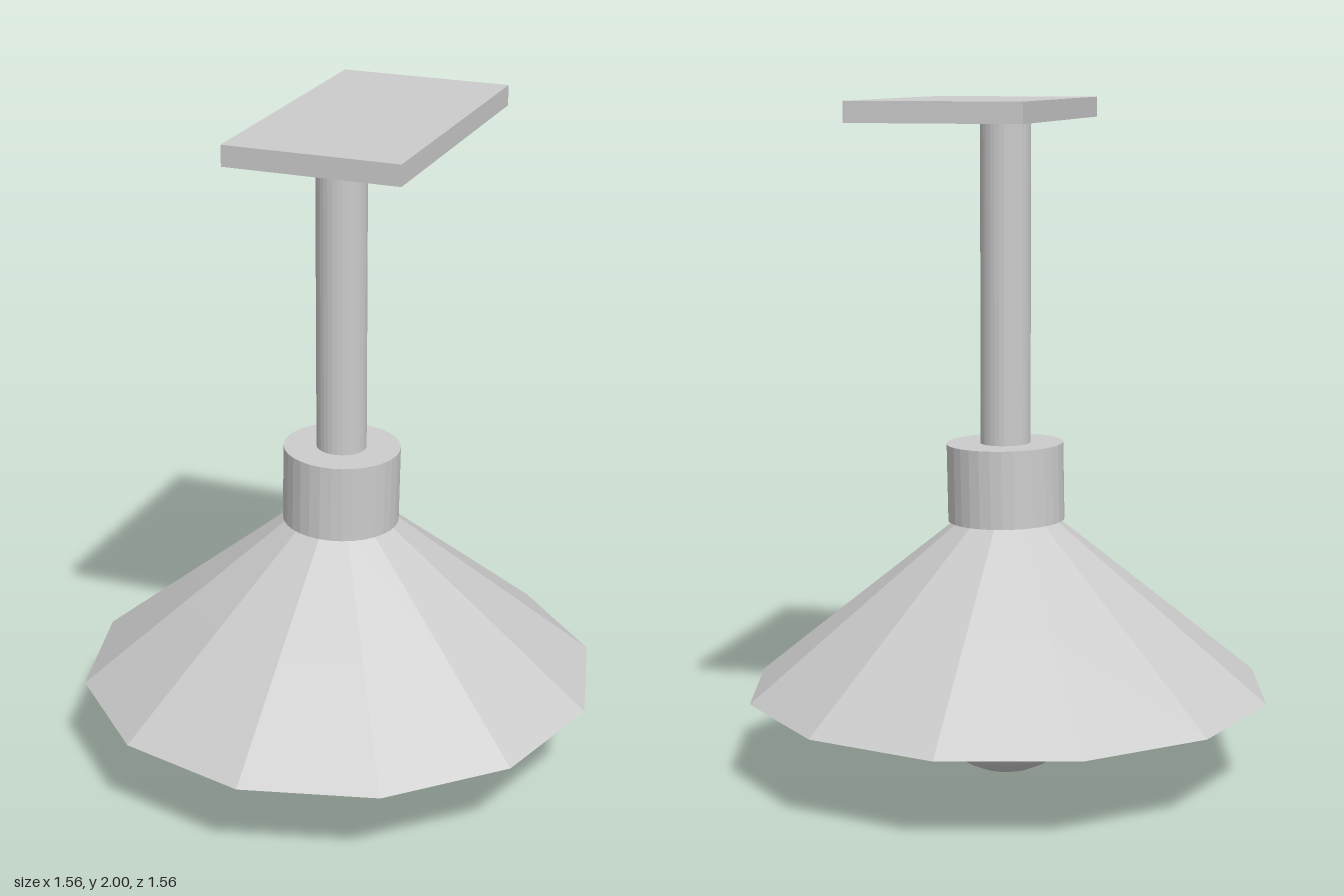
import * as THREE from 'three';

export function createModel() {
  const group = new THREE.Group();
  group.name = 'ceilingLamp';
  const flat = new THREE.MeshStandardMaterial({ color: 0xcccccc, flatShading: true });
  const thin = new THREE.MeshStandardMaterial({ color: 0xcccccc, flatShading: true, side: THREE.DoubleSide });

  const add = (name, geometry, material, x, y, z) => {
    const mesh = new THREE.Mesh(geometry, material);
    mesh.name = name;
    mesh.position.set(x, y, z);
    group.add(mesh);
    return mesh;
  };
  const lathe = (points, sides) =>
    new THREE.LatheGeometry(points.map(([r, y]) => new THREE.Vector2(r, y)), sides);

  // Off-centre mounting plate and the rod hanging from it
  add('ceilingPlate', new THREE.BoxGeometry(0.51, 0.06, 0.894), flat, 0.092, 1.97, -0.005);
  add('rod', new THREE.CylinderGeometry(0.074, 0.074, 0.98, 32), flat, 0.01, 1.465, 0.01);

  // Socket collar, tilted very slightly
  const collar = add('collar', new THREE.CylinderGeometry(0.173, 0.173, 0.23, 32), flat, 0.01, 0.88, 0.01);
  collar.rotation.z = -0.02;

  // Twelve-sided open shade with a small ceiling inside
  add('shade', lathe([[0.78, 0.255], [0.47, 0.508], [0.14, 0.775]], 12), thin, 0, 0, 0);
  add('shadeCeiling', lathe([[0.2, 0.71], [0.001, 0.71]], 12), thin, 0, 0, 0);

  // Pear-shaped bulb: round lower part flowing into a neck
  const profile = [];
  const r = 0.254;
  for (let i = 0; i <= 11; i++) {
    const a = (i / 11) * Math.PI * 0.61;
    profile.push([r * Math.sin(a), r - r * Math.cos(a)]);
  }
  profile.push([0.21, 0.4], [0.175, 0.47], [0.14, 0.54], [0.112, 0.61], [0.095, 0.68], [0.088, 0.78]);
  add('bulb', lathe(profile, 32), flat, 0.004, 0, -0.006);

  return group;
}
